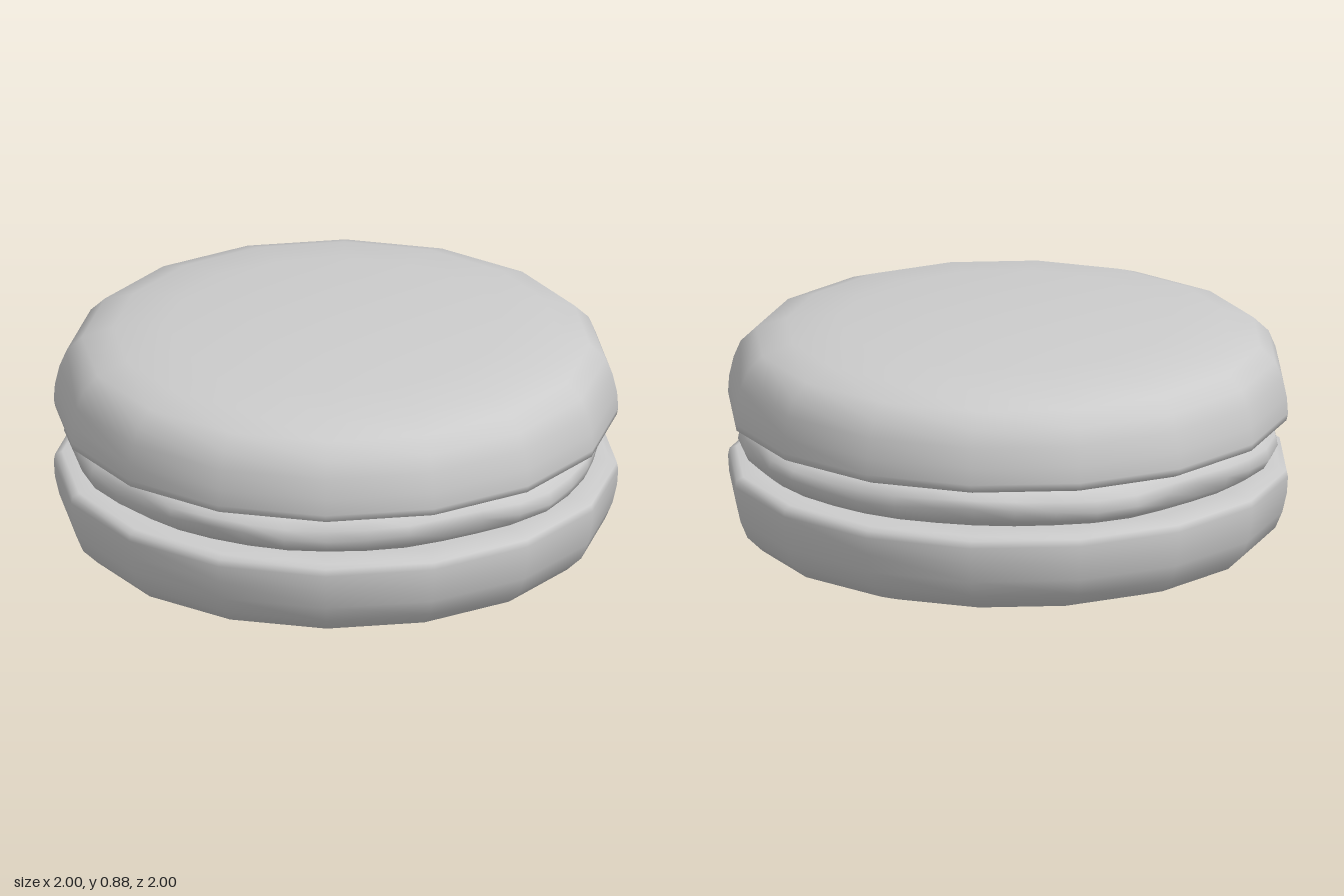
import * as THREE from 'three';
import { mergeVertices } from 'three/addons/utils/BufferGeometryUtils.js';

const HEIGHT = 0.885;
const material = new THREE.MeshStandardMaterial({ color: 0xcccccc });

// Lathe without a seam, so that normals stay smooth all the way round
function smoothLathe(points, sides, deform) {
  const lathe = new THREE.LatheGeometry(points.map(([r, y]) => new THREE.Vector2(r, y)), sides);
  lathe.deleteAttribute('uv');
  lathe.deleteAttribute('normal');
  const geometry = mergeVertices(lathe, 1e-4);
  if (deform) deform(geometry.attributes.position);
  geometry.computeVertexNormals();
  return geometry;
}

// Uneven squeezed-out cream: radius and height ripple around the rim
function ripple(position) {
  for (let i = 0; i < position.count; i++) {
    const x = position.getX(i), y = position.getY(i), z = position.getZ(i);
    if (Math.hypot(x, z) < 0.8) continue;
    const a = Math.atan2(z, x);
    const bulge = 1 - Math.min(1, Math.abs(y - 0.445) / 0.08);
    const wave = 0.6 * Math.sin(5 * a + 0.8) + 0.5 * Math.sin(9 * a + 1.9) + 0.4 * Math.sin(13 * a + 0.4);
    const s = 1 + 0.014 * wave * (0.4 + bulge);
    position.setXYZ(i, x * s, y + 0.014 * bulge * Math.sin(7 * a + 1), z * s);
  }
}

export function createModel() {
  const group = new THREE.Group();
  group.name = 'macaron';
  const add = (name, geometry) => {
    const mesh = new THREE.Mesh(geometry, material);
    mesh.name = name;
    group.add(mesh);
  };

  // Domed shell profile, from the underside out and up to the crown
  const shell = [
    [0, 0.53], [0.8, 0.528], [0.9, 0.52], [0.97, 0.524], [0.995, 0.535], [1, 0.56], [0.996, 0.62],
    [0.98, 0.69], [0.955, 0.75], [0.9, 0.803], [0.79, 0.842], [0.6, 0.865], [0.3, 0.881], [0, HEIGHT],
  ];
  add('topShell', smoothLathe(shell, 16));
  add('bottomShell', smoothLathe(shell.map(([r, y]) => [r, HEIGHT - y]).reverse(), 16));

  // Cream filling between the shells
  const cream = [
    [0, 0.36], [0.84, 0.365], [0.9, 0.38], [0.935, 0.405], [0.95, 0.445],
    [0.945, 0.48], [0.915, 0.508], [0.84, 0.525], [0, 0.53],
  ];
  add('filling', smoothLathe(cream, 40, ripple));
  return group;
}
